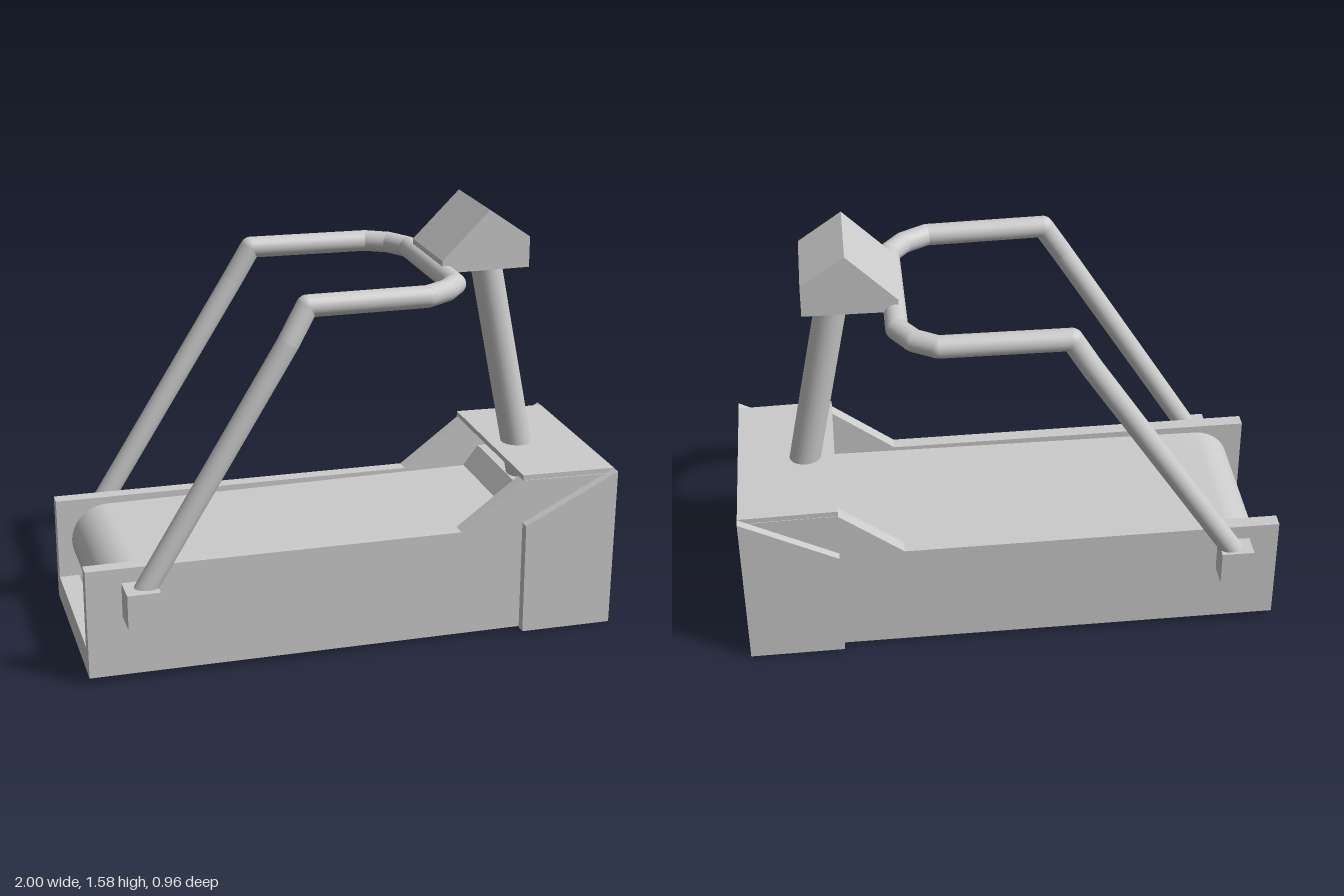
import * as THREE from 'three';
import { toCreasedNormals } from 'three/addons/utils/BufferGeometryUtils.js';

const material = new THREE.MeshStandardMaterial({ color: 0xcccccc });

function add(parent, name, geometry, x = 0, y = 0, z = 0) {
  const mesh = new THREE.Mesh(geometry, material);
  mesh.name = name;
  mesh.position.set(x, y, z);
  parent.add(mesh);
  return mesh;
}

// Box given by its lower and upper corners
function block(parent, name, [x0, y0, z0], [x1, y1, z1]) {
  return add(parent, name, new THREE.BoxGeometry(x1 - x0, y1 - y0, z1 - z0),
    (x0 + x1) / 2, (y0 + y1) / 2, (z0 + z1) / 2);
}

// Side profile (x, y) extruded from z0 to z1
function slab(parent, name, points, z0, z1) {
  const shape = new THREE.Shape(points.map(([x, y]) => new THREE.Vector2(x, y)));
  return add(parent, name,
    new THREE.ExtrudeGeometry(shape, { depth: z1 - z0, bevelEnabled: false }), 0, 0, z0);
}

// Round bar between two points
function bar(parent, name, a, b, radius) {
  const from = new THREE.Vector3(...a), to = new THREE.Vector3(...b);
  const dir = to.clone().sub(from);
  const mesh = add(parent, name, new THREE.CylinderGeometry(radius, radius, dir.length(), 24));
  mesh.position.copy(from).add(to).multiplyScalar(0.5);
  mesh.quaternion.setFromUnitVectors(new THREE.Vector3(0, 1, 0), dir.normalize());
  return mesh;
}

export function createModel() {
  const model = new THREE.Group();
  model.name = 'treadmill';

  // Deck frame: two side walls joined by a low crossbar
  const frame = new THREE.Group();
  frame.name = 'frame';
  model.add(frame);
  const wall = [[-1, 0.025], [0.96, 0.006], [0.96, 0.596], [0.64, 0.604], [0.4, 0.425], [-1, 0.44]];
  slab(frame, 'sideWallLeft', wall, 0.31, 0.364);
  slab(frame, 'sideWallRight', wall, -0.364, -0.31);
  block(frame, 'rearCrossbar', [-1, 0.026, -0.31], [-0.925, 0.125, 0.31]);

  // Running belt wrapped around the rear roller, running under the motor cover
  const r = 0.14, yBelt = 0.27, xRear = -0.805, xFront = 0.72;
  const loop = new THREE.Shape();
  loop.moveTo(xRear, yBelt - r);
  loop.lineTo(xFront, yBelt - r);
  loop.lineTo(xFront, yBelt + r);
  loop.lineTo(xRear, yBelt + r);
  loop.absarc(xRear, yBelt, r, Math.PI / 2, Math.PI * 1.5, false);
  const belt = new THREE.ExtrudeGeometry(loop, { depth: 0.62, bevelEnabled: false, curveSegments: 20 });
  add(model, 'belt', toCreasedNormals(belt, 0.6), 0, 0, -0.31);

  // Motor hood, open towards the belt, with a sloped cover inside
  const hood = new THREE.Group();
  hood.name = 'motorHood';
  model.add(hood);
  const cheek = [[0.64, 0.005], [0.992, 0], [1, 0.615], [0.64, 0.435]];
  slab(hood, 'hoodCheekLeft', cheek, 0.364, 0.402);
  slab(hood, 'hoodCheekRight', cheek, -0.397, -0.364);
  slab(hood, 'hoodTop', [[0.637, 0.605], [1, 0.597], [1, 0.616], [0.637, 0.625]], -0.364, 0.364);
  slab(hood, 'hoodEnd', [[0.96, 0.0005], [0.992, 0], [0.9998, 0.598], [0.96, 0.598]], -0.364, 0.364);
  block(hood, 'hoodBottom', [0.64, 0.005, -0.364], [0.96, 0.025, 0.364]);
  slab(hood, 'motorCover',
    [[0.72, 0.025], [0.96, 0.025], [0.96, 0.49], [0.71, 0.49], [0.65, 0.412], [0.72, 0.408]], -0.31, 0.31);

  // Leaning post and console
  bar(model, 'post', [0.774, 0.48, 0.009], [0.597, 1.4, -0.015], 0.058);
  slab(model, 'console',
    [[0.385, 1.353], [0.723, 1.353], [0.723, 1.468], [0.565, 1.578], [0.385, 1.4]], -0.203, 0.133);

  // Handrail: straight bars with round joints
  const rail = new THREE.Group();
  rail.name = 'handrail';
  model.add(rail);
  const path = [
    [-0.81, 0.35, 0.415], [-0.265, 1.225, 0.393], [-0.19, 1.348, 0.373], [0.25, 1.343, 0.363],
    [0.34, 1.343, 0.31], [0.398, 1.342, 0.237], [0.398, 1.342, -0.3], [0.345, 1.343, -0.385],
    [0.265, 1.343, -0.434], [-0.19, 1.348, -0.441], [-0.265, 1.225, -0.441], [-0.83, 0.35, -0.402],
  ];
  path.forEach((p, i) => {
    if (i === 0) return;
    bar(rail, 'railBar', path[i - 1], p, 0.04);
    if (i < path.length - 1) add(rail, 'railJoint', new THREE.SphereGeometry(0.04, 20, 12), ...p);
  });

  // Blocks holding the rail to the side walls
  block(model, 'railBracketLeft', [-0.872, 0.253, 0.36], [-0.753, 0.383, 0.479]);
  block(model, 'railBracketRight', [-0.89, 0.253, -0.455], [-0.77, 0.383, -0.36]);

  return model;
}
